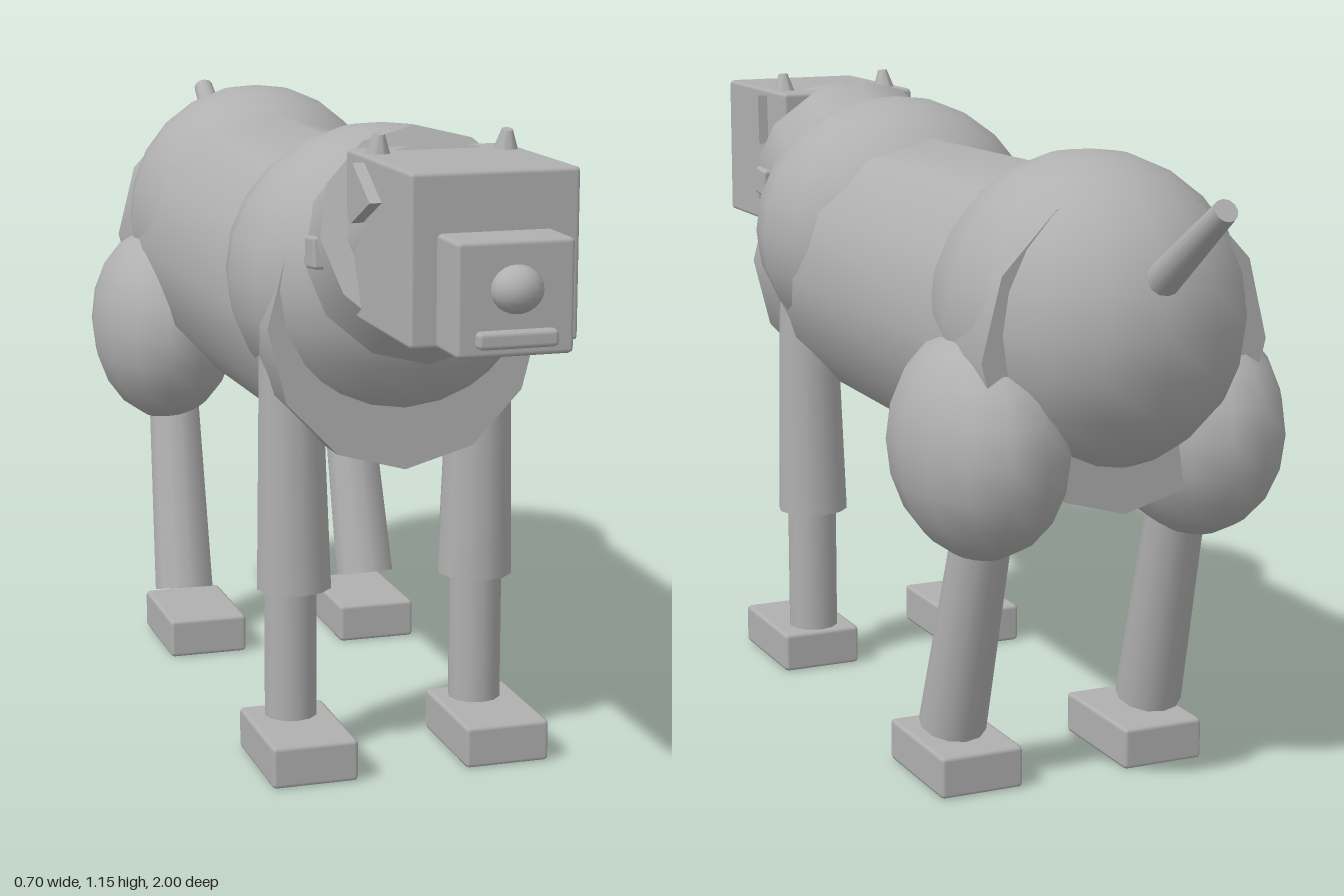
import * as THREE from 'three';
import { RoundedBoxGeometry } from 'three/addons/geometries/RoundedBoxGeometry.js';

const grey = new THREE.MeshStandardMaterial({ color: 0xb0b0b0 });
grey.name = 'plain grey';

export function createModel() {
  const model = new THREE.Group();
  model.name = 'dog';

  const add = (name, geometry, x = 0, y = 0, z = 0) => {
    const mesh = new THREE.Mesh(geometry, grey);
    mesh.name = name;
    mesh.position.set(x, y, z);
    model.add(mesh);
    return mesh;
  };

  // Ellipsoid with separate radii
  const ball = (name, [x, y, z], [rx, ry, rz], w = 16, h = 12) =>
    add(name, new THREE.SphereGeometry(1, w, h).scale(rx, ry, rz), x, y, z);

  // Bevelled box given by its lower and upper corners
  const box = (name, a, b, bevel = 0.008) => {
    const s = b.map((v, i) => v - a[i]);
    return add(name, new RoundedBoxGeometry(s[0], s[1], s[2], 1, bevel),
      ...b.map((v, i) => (v + a[i]) / 2));
  };

  // Tapered cylinder running from point a to point b
  const rod = (name, a, b, ra, rb, sides = 12) => {
    const from = new THREE.Vector3(...a), to = new THREE.Vector3(...b);
    const dir = to.clone().sub(from);
    const mesh = add(name, new THREE.CylinderGeometry(rb, ra, dir.length(), sides));
    mesh.position.copy(from).add(to).multiplyScalar(0.5);
    mesh.quaternion.setFromUnitVectors(new THREE.Vector3(0, 1, 0), dir.normalize());
    return mesh;
  };

  // Torso
  rod('barrel', [0, 0.803, -0.68], [0, 0.803, 0.434], 0.277, 0.26).scale.x = 0.95;
  ball('chest', [0, 0.87, 0.29], [0.277, 0.262, 0.262]);
  ball('rump', [0, 0.845, -0.54], [0.265, 0.275, 0.285]);
  rod('tail', [0, 0.87, -0.7], [0, 1.075, -0.99], 0.034, 0.02);

  // Neck and collar
  rod('neck', [0, 0.84, 0.3], [0, 1.013, 0.647], 0.17, 0.14);
  rod('collar', [0, 0.93, 0.463], [0, 0.97, 0.568], 0.193, 0.193)
    .quaternion.setFromUnitVectors(new THREE.Vector3(0, 1, 0), new THREE.Vector3(0, 0.47, 0.883));

  // Head
  box('head', [-0.14, 0.845, 0.535], [0.14, 1.12, 0.868]);
  box('snout', [-0.096, 0.845, 0.84], [0.096, 1.025, 0.96]);
  ball('nose', [0, 0.95, 0.96], [0.042, 0.038, 0.04]);
  box('mouth', [-0.066, 0.86, 0.94], [0.066, 0.888, 0.977]);

  // Small wedge on each side of the head, drawn in (z, y)
  const wedge = new THREE.Shape([[0.727, 1.055], [0.635, 1.108], [0.63, 1.01]]
    .map(([z, y]) => new THREE.Vector2(-z, y)));

  for (const [side, s] of [['left', 1], ['right', -1]]) {
    const cheek = add(side + 'HeadWedge', new THREE.ExtrudeGeometry(wedge,
      { depth: 0.04, bevelEnabled: false }), s > 0 ? 0.12 : -0.16);
    cheek.rotation.y = Math.PI / 2;
    rod(side + 'Ear', [s * 0.11, 1.09, 0.61], [s * 0.11, 1.152, 0.62], 0.04, 0.012, 8).scale.x = 0.75;

    const buckle = box(side + 'CollarStud', [-0.02, -0.027, -0.027], [0.02, 0.027, 0.027], 0.006);
    buckle.position.set(s * 0.18, 0.947, 0.522);
    buckle.rotation.x = -0.1;

    // Front leg
    rod(side + 'FrontUpperLeg', [s * 0.17, 0.315, 0.322], [s * 0.177, 0.82, 0.322], 0.068, 0.054);
    rod(side + 'FrontLowerLeg', [s * 0.175, 0.06, 0.315], [s * 0.175, 0.35, 0.315], 0.048, 0.048);

    // Back leg
    ball(side + 'Thigh', [s * 0.203, 0.638, -0.54], [0.145, 0.198, 0.208], 14, 10);
    rod(side + 'BackLeg', [s * 0.195, 0.103, -0.415], [s * 0.185, 0.55, -0.54], 0.06, 0.05);

    for (const [end, z0] of [['Front', 0.257], ['Back', -0.507]])
      box(side + end + 'Foot', [s * 0.178 - 0.078, 0, z0], [s * 0.178 + 0.078, 0.076, z0 + 0.232]);
  }
  return model;
}
